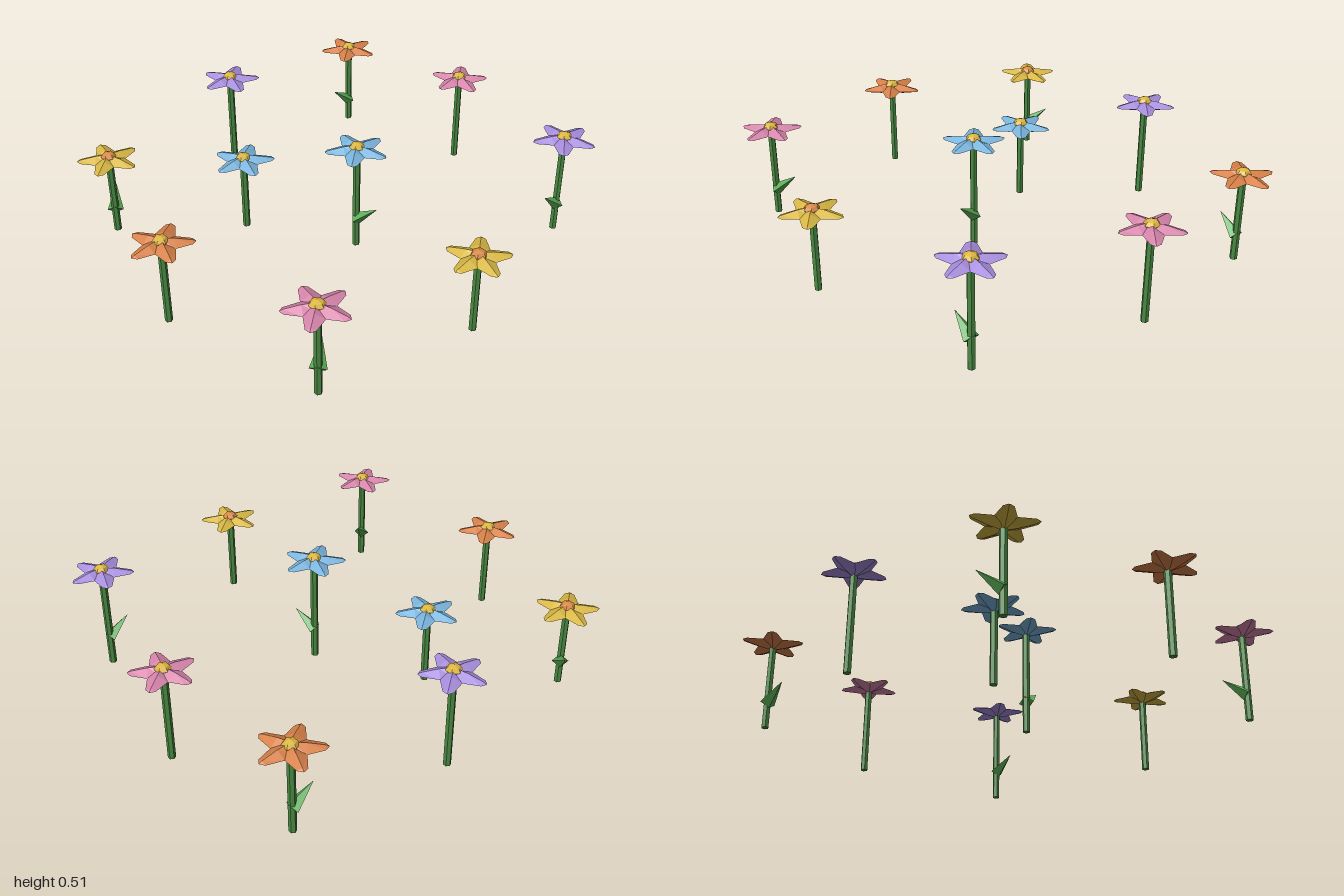
import * as THREE from 'three';
import { mergeGeometries } from 'three/addons/utils/BufferGeometryUtils.js';

const mat = (name, color) => {
  const m = new THREE.MeshStandardMaterial({ color });
  m.name = name;
  return m;
};

// Faceted normals
function facet(geo) {
  const g = geo.index ? geo.toNonIndexed() : geo;
  g.deleteAttribute('uv');
  g.computeVertexNormals();
  return g;
}

// Diamond cross-sections along +x: [x, half width, half thickness]
function loft(sections) {
  const pos = [], idx = [], n = sections.length;
  for (const [x, w, t] of sections) pos.push(x, t, 0, x, 0, w, x, -t, 0, x, 0, -w);
  for (let i = 0; i < n - 1; i++) {
    for (let j = 0; j < 4; j++) {
      const a = i * 4 + j, b = i * 4 + (j + 1) % 4;
      idx.push(a, b, b + 4, a, b + 4, a + 4);
    }
  }
  idx.push(0, 2, 1, 0, 3, 2);
  const g = new THREE.BufferGeometry();
  g.setAttribute('position', new THREE.Float32BufferAttribute(pos, 3));
  g.setIndex(idx);
  return facet(g);
}

export function createModel() {
  const root = new THREE.Group();
  root.name = 'flowerPatch';

  const stemMat = mat('stemGreen', 0x4a8a42);
  const leafMat = mat('leafGreen', 0x5cab56);
  const petalMats = {
    yellow: mat('petalYellow', 0xd9b845),
    purple: mat('petalPurple', 0xa98fdf),
    orange: mat('petalOrange', 0xd9824a),
    blue: mat('petalBlue', 0x7cb6de),
    pink: mat('petalPink', 0xd886ac),
  };
  const centreMat = mat('centreYellow', 0xdcb640);
  const centreOrangeMat = mat('centreOrange', 0xd98a48);

  // Five ridged, blunt-tipped petals
  const petal = loft([[0, 0.03, 0.025], [0.055, 0.041, 0.02], [0.12, 0.02, 0.007], [0.133, 0.002, 0.001]]);
  const bloomGeo = mergeGeometries(
    Array.from({ length: 5 }, (_, i) => petal.clone().rotateY(i * Math.PI * 2 / 5)));

  // Faceted button
  const centreGeo = facet(new THREE.LatheGeometry(
    [[0.026, 0], [0.034, 0.016], [0.024, 0.03], [0, 0.039]].map(p => new THREE.Vector2(...p)), 6));

  // Wedge leaf, broad at the stem and pointed outside
  const leafGeo = loft([[0, 0.035, 0.028], [0.119, 0.001, 0.001]]);

  // [colour, x, z, height, direction of the first petal, leaf direction x, z]
  const flowers = [
    ['yellow', -0.66, -0.72, 0.36, 1, 0.06, -0.07],
    ['purple', 0.08, -0.81, 0.435, -1],
    ['orange', 0.76, -0.72, 0.385, 1, -1, 0],
    ['blue', -0.23, -0.35, 0.335, -1],
    ['orange', -0.87, -0.065, 0.375, -1],
    ['pink', 0.88, -0.105, 0.41, -1],
    ['blue', 0.02, 0.085, 0.475, 1, 0.03, 0.09],
    ['pink', -0.72, 0.64, 0.4, 1, 0.07, -0.055],
    ['purple', 0.735, 0.6, 0.45, 1, -1, 0.05],
    ['yellow', -0.045, 0.8, 0.35, -1],
  ];

  for (const [colour, x, z, h, dir, lx, lz] of flowers) {
    const flower = new THREE.Group();
    flower.name = colour + 'Flower';
    flower.position.set(x, 0, z);
    const add = (name, geo, material, y) => {
      const m = new THREE.Mesh(geo, material);
      m.name = name;
      m.position.y = y;
      flower.add(m);
      return m;
    };
    add('stem', facet(new THREE.CylinderGeometry(0.016, 0.016, h, 6)), stemMat, h / 2);
    add('petals', bloomGeo, petalMats[colour], h).rotation.y = dir > 0 ? 0 : Math.PI;
    add('centre', centreGeo, colour === 'yellow' ? centreOrangeMat : centreMat, h);
    if (lx !== undefined) {
      add('leaf', leafGeo, leafMat, h * 0.285).rotation.set(0, Math.atan2(-lz, lx), 0.64);
    }
    root.add(flower);
  }
  return root;
}
